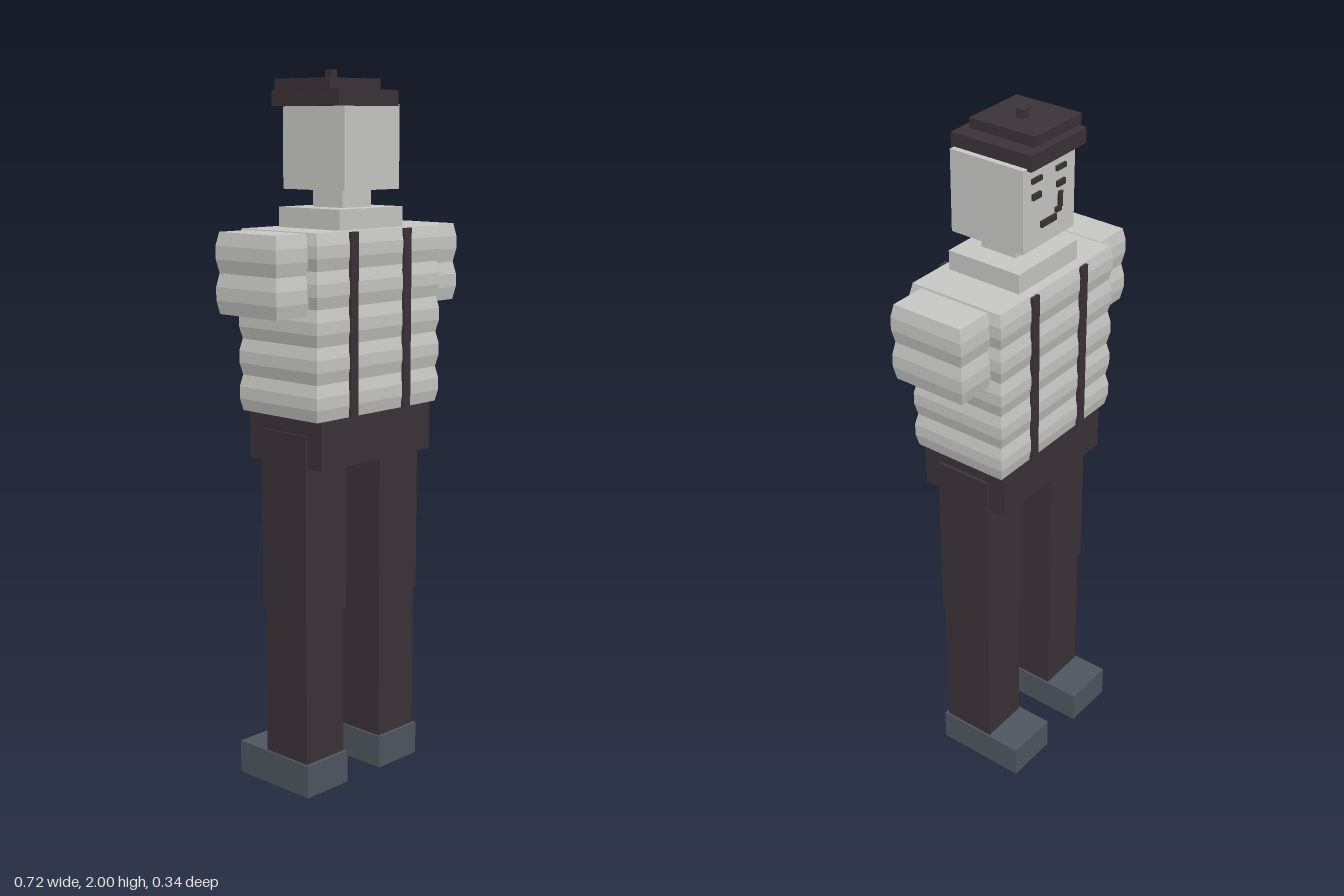
import * as THREE from 'three';

export function createModel() {
  const model = new THREE.Group();
  model.name = 'figure';

  const mat = (name, color) => {
    const m = new THREE.MeshStandardMaterial({ color });
    m.name = name;
    return m;
  };
  const pale = mat('paleGrey', 0xc9c9c6);
  const dark = mat('darkCloth', 0x3b3339);
  const slate = mat('slateShoe', 0x505760);

  const add = (name, geometry, material, parent = model) => {
    const mesh = new THREE.Mesh(geometry, material);
    mesh.name = name;
    parent.add(mesh);
    return mesh;
  };

  // Box given by its limits on each axis
  const box = (name, material, [x0, x1], [y0, y1], [z0, z1], parent) => {
    const g = new THREE.BoxGeometry(x1 - x0, y1 - y0, z1 - z0);
    g.translate((x0 + x1) / 2, (y0 + y1) / 2, (z0 + z1) / 2);
    return add(name, g, material, parent);
  };

  // Box whose sides are pinched in between stacked padded bands
  const bandedBox = (name, material, [x0, x1], [y0, y1], [z0, z1], bands) => {
    const w = x1 - x0, h = y1 - y0, d = z1 - z0, rows = bands * 3, inset = 0.007;
    let g = new THREE.BoxGeometry(w, h, d, 1, rows, 1);
    const p = g.attributes.position;
    for (let i = 0; i < p.count; i++) {
      const row = Math.round((p.getY(i) / h + 0.5) * rows);
      if (row % 3 === 0) {
        p.setX(i, p.getX(i) - Math.sign(p.getX(i)) * inset);
        p.setZ(i, p.getZ(i) - Math.sign(p.getZ(i)) * inset);
      }
    }
    g = g.toNonIndexed();
    g.computeVertexNormals();
    g.translate((x0 + x1) / 2, (y0 + y1) / 2, (z0 + z1) / 2);
    return add(name, g, material);
  };

  // Padded jacket and straps
  bandedBox('jacket', pale, [-0.247, 0.247], [1.08, 1.58], [-0.137, 0.162], 5);
  for (const [side, s] of [['left', 1], ['right', -1]]) {
    const x = s > 0 ? [0.24, 0.361] : [-0.361, -0.24];
    bandedBox(side + 'Sleeve', pale, x, [1.36, 1.578], [-0.101, 0.128], 2);
    const strap = s > 0 ? [0.091, 0.119] : [-0.122, -0.094];
    box(side + 'FrontStrap', dark, strap, [1.08, 1.578], [0.159, 0.168]);
    box(side + 'BackStrap', dark, strap, [1.08, 1.578], [-0.142, -0.133]);
  }

  // Hips and legs
  box('hips', dark, [-0.222, 0.219], [0.945, 1.08], [-0.123, 0.153]);
  for (const [side, s] of [['left', 1], ['right', -1]]) {
    const leg = new THREE.Group();
    leg.name = side + 'Leg';
    leg.position.x = s * 0.149;
    model.add(leg);
    box('thigh', dark, [-0.08, 0.08], [0.52, 1.035], [-0.07, 0.1], leg);
    box('shin', dark, [-0.074, 0.074], [0.09, 0.522], [-0.064, 0.095], leg);
    box('shoe', slate, [-0.08, 0.08], [0, 0.095], [-0.17, 0.105], leg);
  }

  // Collar, neck and head
  box('collar', pale, [-0.127, 0.125], [1.575, 1.635], [-0.101, 0.128]);
  box('neck', pale, [-0.058, 0.056], [1.63, 1.69], [-0.037, 0.074]);
  box('head', pale, [-0.11, 0.108], [1.683, 1.91], [-0.1, 0.13]);

  // Flat cap with a small stem
  box('capBand', dark, [-0.14, 0.091], [1.904, 1.947], [-0.113, 0.14]);
  box('capTop', dark, [-0.15, 0.045], [1.946, 1.976], [-0.09, 0.116]);
  box('capStem', dark, [-0.048, -0.025], [1.975, 2], [0, 0.023]);

  // Facial features as thin plates
  const face = (name, x, y) => box(name, dark, x, y, [-0.107, -0.099]);
  for (const [side, cx] of [['left', 0.056], ['right', -0.046]]) {
    face(side + 'Brow', [cx - 0.02, cx + 0.02], [1.865, 1.878]);
    face(side + 'Eye', [cx - 0.017, cx + 0.017], [1.82, 1.836]);
  }
  face('nose', [-0.052, -0.038], [1.762, 1.805]);
  face('noseFoot', [-0.048, -0.025], [1.752, 1.766]);
  face('mouth', [-0.026, 0.036], [1.733, 1.75]);

  return model;
}
